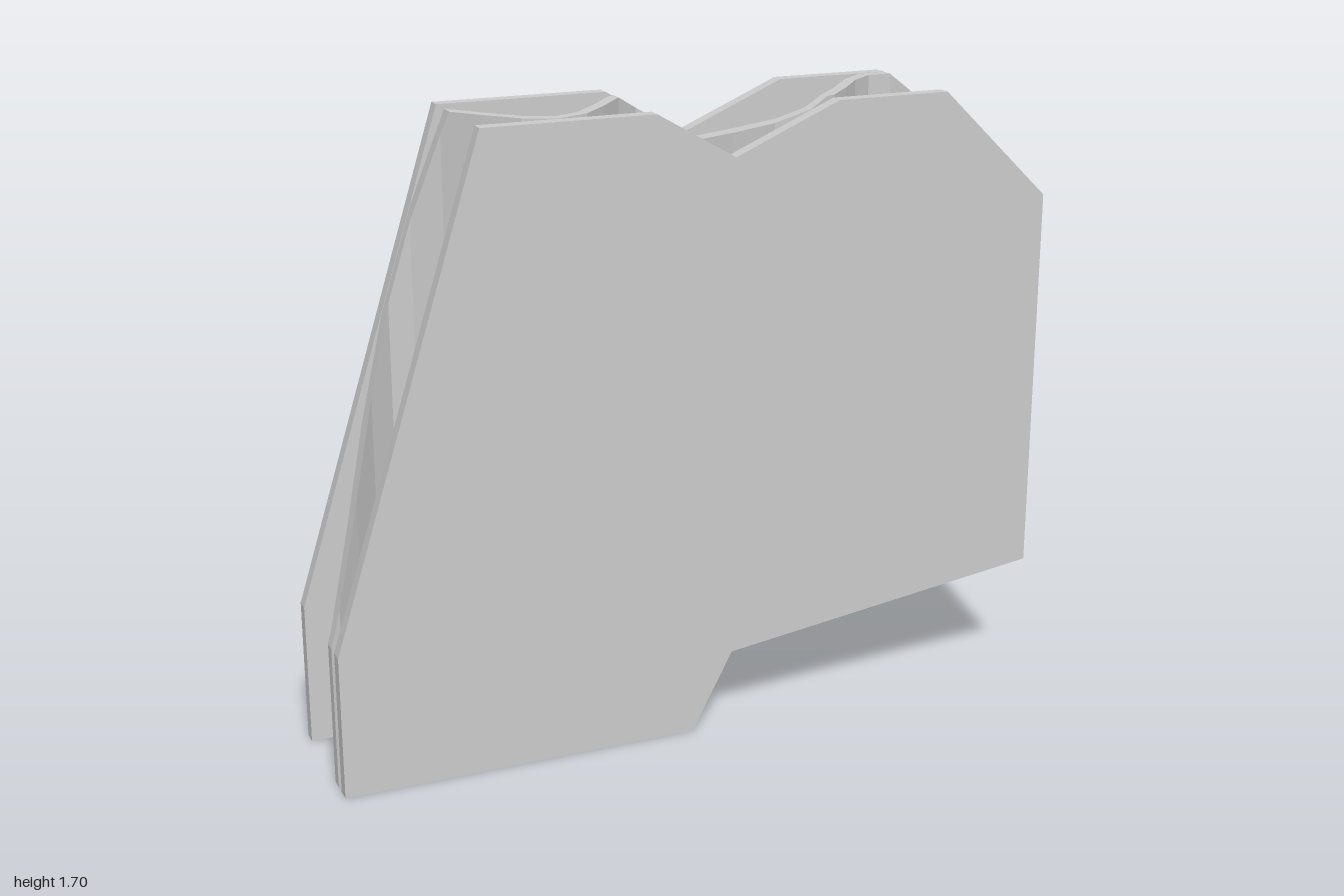
import * as THREE from 'three';

// Panel outline, split into lower and upper edges (both run left to right)
const LOWER = [[-1, 0], [-0.03, 0], [0.085, 0.215], [1, 0.34]];
const UPPER = [[-1, 0.39], [-0.59, 1.7], [-0.13, 1.7], [0.085, 1.575], [0.375, 1.7], [0.69, 1.7], [1, 1.4]];
const HALF_DEPTH = 0.193, LINER = 0.038;
const PERIOD = 0.685, STEPS = 9, AMPLITUDE = 0.139, SHEET = 0.03;

// Height of a polyline at a given x
function at(line, x) {
  let i = 1;
  while (i < line.length - 1 && line[i][0] < x) i++;
  const [x0, y0] = line[i - 1], [x1, y1] = line[i];
  return y0 + (y1 - y0) * (x - x0) / (x1 - x0);
}

// Faceted wave in (x, z), offset sideways with mitred corners
function offsetWave(distance) {
  const pts = [];
  for (let i = -30; i <= 3; i++) {
    pts.push(new THREE.Vector2(1 + i * PERIOD / STEPS, AMPLITUDE * Math.cos(i * 2 * Math.PI / STEPS) - 0.005));
  }
  const line = [];
  for (let i = 1; i < pts.length - 1; i++) {
    const a = pts[i].clone().sub(pts[i - 1]).normalize();
    const b = pts[i + 1].clone().sub(pts[i]).normalize();
    const t = a.clone().add(b).normalize();
    const d = distance / t.dot(a);
    line.push([pts[i].x - t.y * d, pts[i].y + t.x * d]);
  }
  return line;
}

// Corrugated sheet trimmed to the panel outline
function corrugatedGeometry() {
  const front = offsetWave(SHEET / 2), back = offsetWave(-SHEET / 2);
  const xs = [...front, ...back, ...LOWER, ...UPPER].map(p => p[0])
    .filter(x => x >= -1 && x <= 1).sort((a, b) => a - b)
    .filter((x, i, all) => i === 0 || x - all[i - 1] > 1e-5);
  // Each section: front bottom, front top, back top, back bottom
  const sections = xs.map(x => {
    const b = at(LOWER, x), t = at(UPPER, x), f = at(front, x), k = at(back, x);
    return [[x, b, f], [x, t, f], [x, t, k], [x, b, k]];
  });
  const pos = [];
  const quad = (a, b, c, d) => pos.push(...a, ...b, ...c, ...a, ...c, ...d);
  for (let i = 1; i < sections.length; i++) {
    const p = sections[i - 1], q = sections[i];
    for (let j = 0; j < 4; j++) {
      const n = (j + 1) % 4;
      quad(p[j], q[j], q[n], p[n]);
    }
  }
  const s = sections[0], e = sections[sections.length - 1];
  quad(s[0], s[1], s[2], s[3]);
  quad(e[3], e[2], e[1], e[0]);
  const geo = new THREE.BufferGeometry();
  geo.setAttribute('position', new THREE.Float32BufferAttribute(pos, 3));
  geo.computeVertexNormals();
  return geo;
}

export function createModel() {
  const group = new THREE.Group();
  group.name = 'corrugatedBoard';
  const material = new THREE.MeshStandardMaterial({ color: 0xcccccc, flatShading: true });

  // Two flat facing sheets
  const outline = [...LOWER, ...UPPER.slice().reverse()].map(p => new THREE.Vector2(...p));
  const liner = new THREE.ExtrudeGeometry(new THREE.Shape(outline), { depth: LINER, bevelEnabled: false });
  for (const [name, z] of [['frontLiner', HALF_DEPTH - LINER], ['backLiner', -HALF_DEPTH]]) {
    const mesh = new THREE.Mesh(liner, material);
    mesh.name = name;
    mesh.position.z = z;
    group.add(mesh);
  }

  // Wavy core between them
  const core = new THREE.Mesh(corrugatedGeometry(), material);
  core.name = 'corrugatedCore';
  group.add(core);
  return group;
}
